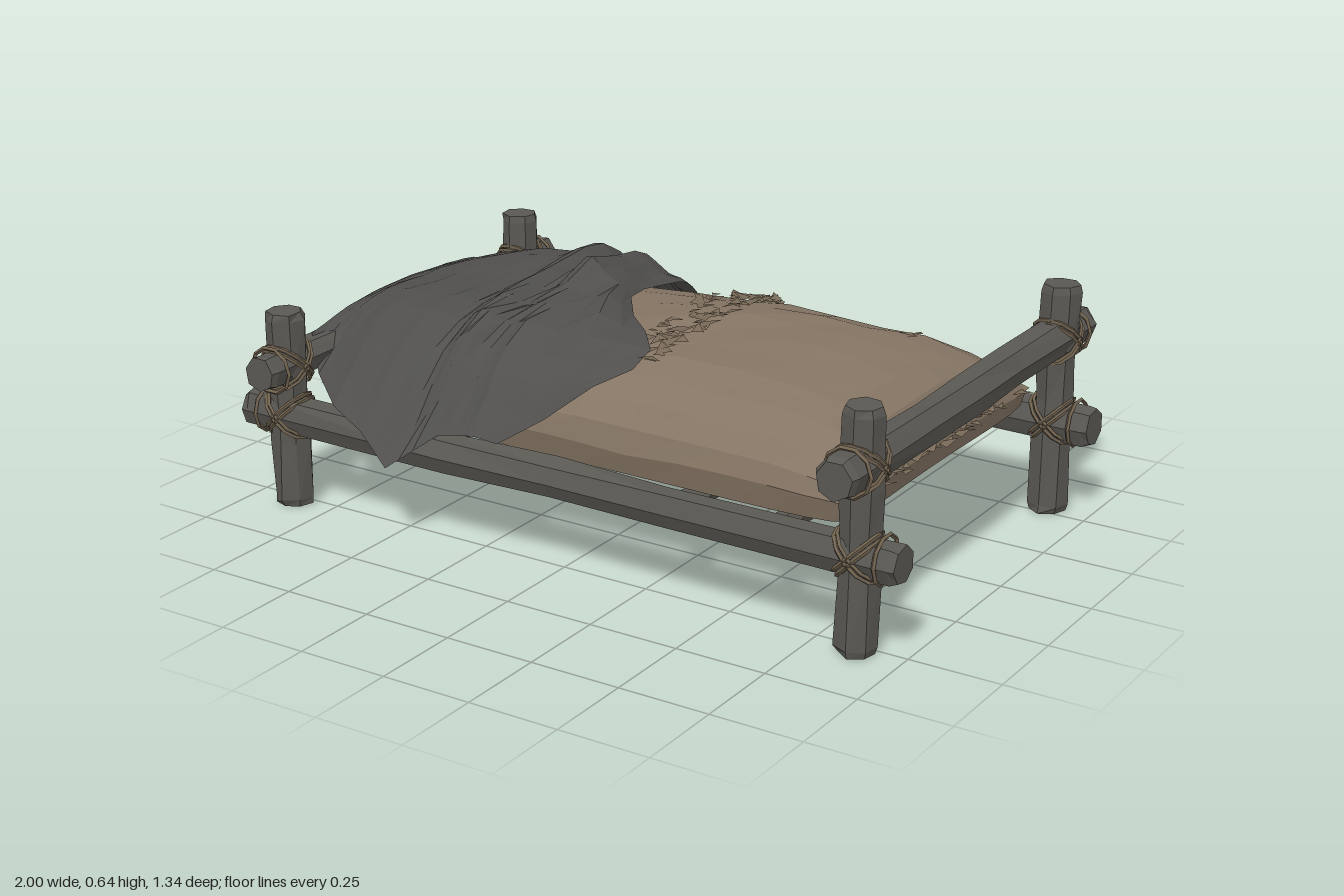
import * as THREE from 'three';

const make = (name, color, side = THREE.FrontSide) =>
  new THREE.MeshStandardMaterial({ name, color, side, flatShading: true });

// Repeatable noise: the same position always gives the same value, 0..1
function hash(x, y, z) {
  const s = Math.sin(Math.round(x * 500) * 12.99 + Math.round(y * 500) * 78.23 + Math.round(z * 500) * 37.72) * 43758.5453;
  return s - Math.floor(s);
}

// Surface from a rule (u, v) -> [x, y, z], both running 0..1
function surface(nu, nv, rule) {
  const pos = [], index = [];
  for (let i = 0; i <= nu; i++) for (let j = 0; j <= nv; j++) pos.push(...rule(i / nu, j / nv));
  for (let i = 0; i < nu; i++) for (let j = 0; j < nv; j++) {
    const a = i * (nv + 1) + j, c = a + nv + 1;
    index.push(a, a + 1, c, a + 1, c + 1, c);
  }
  const g = new THREE.BufferGeometry();
  g.setAttribute('position', new THREE.Float32BufferAttribute(pos, 3));
  g.setIndex(index);
  g.computeVertexNormals();
  return g;
}

// Rough hewn log along y, slightly thicker at its chamfered ends
function logGeometry(length, radius, seed) {
  const g = new THREE.CylinderGeometry(radius, radius, length, 7, 6);
  const p = g.attributes.position;
  for (let i = 0; i < p.count; i++) {
    const x = p.getX(i), y = p.getY(i), z = p.getZ(i);
    const t = Math.abs(y) / (length / 2);
    let k = 0.91 + 0.1 * t * t + 0.2 * (hash(x, y + seed, z) - 0.5);
    if (t > 0.99) k *= 0.85;
    // pull the outer rings close to the ends
    const ny = t > 0.6 && t < 0.99 ? Math.sign(y) * (length / 2 - 0.02) : y;
    p.setXYZ(i, x * k, ny, z * k);
  }
  g.computeVertexNormals();
  return g;
}

// Mattress outline and height
const SEAM = 0.345, HALF_Z = 0.485;
function fill(u, v) {
  return Math.sqrt(Math.max(0, 1 - Math.abs(u) ** 6) * Math.max(0, 1 - Math.abs(v) ** 3));
}
function topY(x, z) {
  const high = 0.165 + 0.03 * THREE.MathUtils.smoothstep(x, -0.35, 0.1);
  return SEAM + high * fill((x - 0.015) / 0.815, z / HALF_Z);
}
function mattressPoint(u, v, top) {
  const a = Math.sin((u - 0.5) * Math.PI), b = Math.sin((v - 0.5) * Math.PI);
  const x = 0.015 + 0.815 * a, z = HALF_Z * b;
  const f = fill(a, b);
  const n = (hash(x, 1, z) - 0.5) * 0.016 * f;
  const seam = (hash(x, 2, z) - 0.5) * 0.016;
  const y = top ? topY(x, z) + n : SEAM - 0.095 * f ** 0.35;
  return [x * (1 - 0.03 * (1 - b * b) * Math.abs(a) ** 4), y + (f < 0.05 ? seam : 0), z * (1 - 0.015 * (1 - a * a))];
}

// Blanket cross-sections from foot hem to folded head edge, each back to front
const BLANKET = [
  [[-0.92, 0.36, -0.3], [-0.925, 0.31, -0.18], [-0.925, 0.19, -0.05], [-0.92, 0.33, 0.12], [-0.9, 0.36, 0.36]],
  [[-0.9, 0.46, -0.34], [-0.91, 0.47, -0.2], [-0.91, 0.48, 0], [-0.91, 0.47, 0.2], [-0.88, 0.45, 0.42]],
  [[-0.82, 0.4, -0.48], [-0.82, 0.49, -0.28], [-0.82, 0.51, 0], [-0.82, 0.5, 0.26], [-0.82, 0.36, 0.47]],
  [[-0.68, 0.36, -0.57], [-0.7, 0.51, -0.36], [-0.7, 0.535, 0], [-0.7, 0.52, 0.32], [-0.68, 0.33, 0.58]],
  [[-0.55, 0.33, -0.6], [-0.55, 0.53, -0.38], [-0.55, 0.545, 0], [-0.55, 0.53, 0.36], [-0.55, 0.3, 0.63]],
  [[-0.42, 0.28, -0.66], [-0.45, 0.55, -0.4], [-0.43, 0.565, -0.05], [-0.44, 0.52, 0.36], [-0.45, 0.23, 0.66]],
  [[-0.35, 0.36, -0.61], [-0.37, 0.55, -0.36], [-0.31, 0.575, -0.07], [-0.36, 0.545, 0.34], [-0.35, 0.31, 0.56]],
  [[-0.26, 0.4, -0.52], [-0.28, 0.55, -0.36], [-0.22, 0.57, -0.04], [-0.26, 0.535, 0.34], [-0.24, 0.33, 0.56]],
  [[-0.2, 0.42, -0.48], [-0.18, 0.5, -0.36], [-0.14, 0.54, -0.03], [0.12, 0.53, 0.3], [-0.17, 0.32, 0.55]],
];

// Folds: a sharp peak, a raised crease running to the loose corner, and broad pleats
function foldHeight(x, z) {
  const bump = (d, w) => Math.exp(-((d / w) ** 2));
  const along = THREE.MathUtils.clamp((z + 0.07) / 0.4, 0, 1);
  const peak = 0.05 * bump(z + 0.07, 0.09) * bump(x + 0.29, 0.09);
  const crease = 0.035 * bump(x + 0.2 - 0.16 * along, 0.05) * bump(z - 0.05, 0.16);
  const pleats = 0.02 * Math.sin(x * 42 - z * 5 + 0.8) * bump(x + 0.37, 0.15);
  return peak + crease + pleats;
}

export function createModel() {
  const model = new THREE.Group();
  model.name = 'bed';
  const wood = make('wood', 0x5a5853);
  const cloth = make('blanketCloth', 0x504f4d, THREE.DoubleSide);
  const tan = make('mattressCloth', 0x857564);
  const torn = make('tornCloth', 0x786957, THREE.DoubleSide);
  const rope = make('rope', 0x6f614e);

  const add = (name, geometry, material, parent = model) => {
    const m = new THREE.Mesh(geometry, material);
    m.name = name;
    parent.add(m);
    return m;
  };

  // Rope lashing where a log along direction b crosses one along direction a
  const up = new THREE.Vector3(0, 1, 0);
  function lashing(x, y, z, a, b, outward) {
    const g = new THREE.Group();
    g.name = 'ropeLashing';
    g.position.set(x, y, z);
    const c = new THREE.Vector3().crossVectors(a, b).normalize();
    for (const s of [-1, 1]) for (const shift of [-0.007, 0.007]) {
      const d = a.clone().addScaledVector(b, s).normalize();
      const n = new THREE.Vector3().crossVectors(c, d);
      const loop = add('crossLoop', new THREE.TorusGeometry(0.08, 0.006, 4, 12), rope, g);
      loop.scale.x = 0.82;
      loop.quaternion.setFromRotationMatrix(new THREE.Matrix4().makeBasis(c, d, n));
      loop.position.copy(n).multiplyScalar(shift);
    }
    const ring = add('railLoop', new THREE.TorusGeometry(0.063, 0.006, 4, 10), rope, g);
    ring.quaternion.setFromUnitVectors(new THREE.Vector3(0, 0, 1), b);
    ring.position.copy(b).multiplyScalar(outward * 0.07);
    model.add(g);
  }

  const X = new THREE.Vector3(1, 0, 0), Z = new THREE.Vector3(0, 0, 1);
  const ends = [
    { name: 'head', x: 0.88, height: 0.64, railY: 0.49, railLength: 1.34, r: 0.06, lean: -0.015 },
    { name: 'foot', x: -0.87, height: 0.55, railY: 0.4, railLength: 1.3, r: 0.055, lean: 0 },
  ];
  ends.forEach((e, i) => {
    // Posts and their lashings
    for (const s of [-1, 1]) {
      const post = add(e.name + 'Post', logGeometry(e.height, 0.057, i + s * 3), wood);
      post.position.set(e.x, e.height / 2, s * 0.533);
      post.rotation.z = e.lean;
      post.rotation.x = s * 0.015;
      lashing(e.x, e.railY, s * 0.535, up, Z, s);
      lashing(e.x, 0.26, s * 0.535, up, X, Math.sign(e.x));
    }
    // Upper end rail
    const rail = add(e.name + 'Rail', logGeometry(e.railLength, e.r, i + 7), wood);
    rail.rotation.x = Math.PI / 2;
    rail.position.set(e.x, e.railY, 0);
  });

  // Long side rails
  for (const s of [-1, 1]) {
    const rail = add('sideRail', logGeometry(2, 0.059, s * 5), wood);
    rail.rotation.z = Math.PI / 2;
    rail.position.set(0, 0.257, s * 0.535);
  }

  // Flattened slats under the mattress
  [0.6, 0.33, -0.45, -0.58, -0.76].forEach((x, i) => {
    const slat = add('slat', logGeometry(1.04, 0.03, i + 11), wood);
    slat.rotation.x = Math.PI / 2;
    slat.scale.x = 1.3;
    slat.position.set(x, 0.232, 0);
  });

  // Mattress, top and bottom halves meeting at the seam
  add('mattressTop', surface(16, 12, (u, v) => mattressPoint(u, v, true)), tan);
  add('mattressBottom', surface(16, 12, (u, v) => mattressPoint(1 - u, v, false)), tan);

  // Ragged scraps: along the tear across the top, and along the head seam
  let seed = 7;
  const rnd = () => (seed = (seed * 16807) % 2147483647) / 2147483647;
  const scraps = [];
  const scrap = (x, y, z, size) => {
    const t = rnd() * Math.PI * 2;
    const dx = Math.cos(t) * size, dz = Math.sin(t) * size;
    scraps.push(x - dz * 0.4, y, z + dx * 0.4, x + dz * 0.4, y, z - dx * 0.4, x + dx, y + size * 0.35 * rnd(), z + dz);
  };
  for (let i = 0; i < 80; i++) {
    const z = -0.42 + 0.72 * (i / 80), x = 0.07 + (rnd() - 0.5) * 0.13 + 0.04 * (z + 0.1);
    scrap(x, topY(x, z) + 0.006, z, 0.03 + rnd() * 0.03);
  }
  for (let i = 0; i < 14; i++) {
    const x = -0.1 + rnd() * 0.2, z = -0.44 + rnd() * 0.08;
    scrap(x, topY(x, z) + 0.006, z, 0.04);
  }
  for (let i = 0; i < 36; i++) scrap(0.81, 0.335 + rnd() * 0.02, -0.45 + 0.9 * (i / 35), 0.035 + rnd() * 0.025);
  for (let i = 0; i < 3; i++) scrap(0.58, topY(0.58, -0.3) + 0.008, -0.3 + i * 0.015, 0.04);
  const scrapGeometry = new THREE.BufferGeometry();
  scrapGeometry.setAttribute('position', new THREE.Float32BufferAttribute(scraps, 3));
  scrapGeometry.computeVertexNormals();
  add('tornScraps', scrapGeometry, torn);

  // Rumpled blanket, interpolated between its cross-sections and kept above the mattress
  const curves = BLANKET.map(r => new THREE.CatmullRomCurve3(r.map(p => new THREE.Vector3(...p))));
  const last = curves.length - 1;
  add('blanket', surface(last * 4, 14, (u, v) => {
    const k = Math.min(Math.floor(u * last + 1e-6), last - 1);
    const p = curves[k].getPoint(v).lerp(curves[k + 1].getPoint(v), u * last - k);
    if (u > 0.1 && v > 0.05 && v < 0.95) {
      p.y += foldHeight(p.x, p.z) + 0.004 * (hash(p.x, p.y, p.z) - 0.4);
    }
    if (p.x > -0.78 && Math.abs(p.z) < 0.47) p.y = Math.max(p.y, topY(p.x, p.z) + 0.01);
    return p.toArray();
  }), cloth);

  return model;
}
